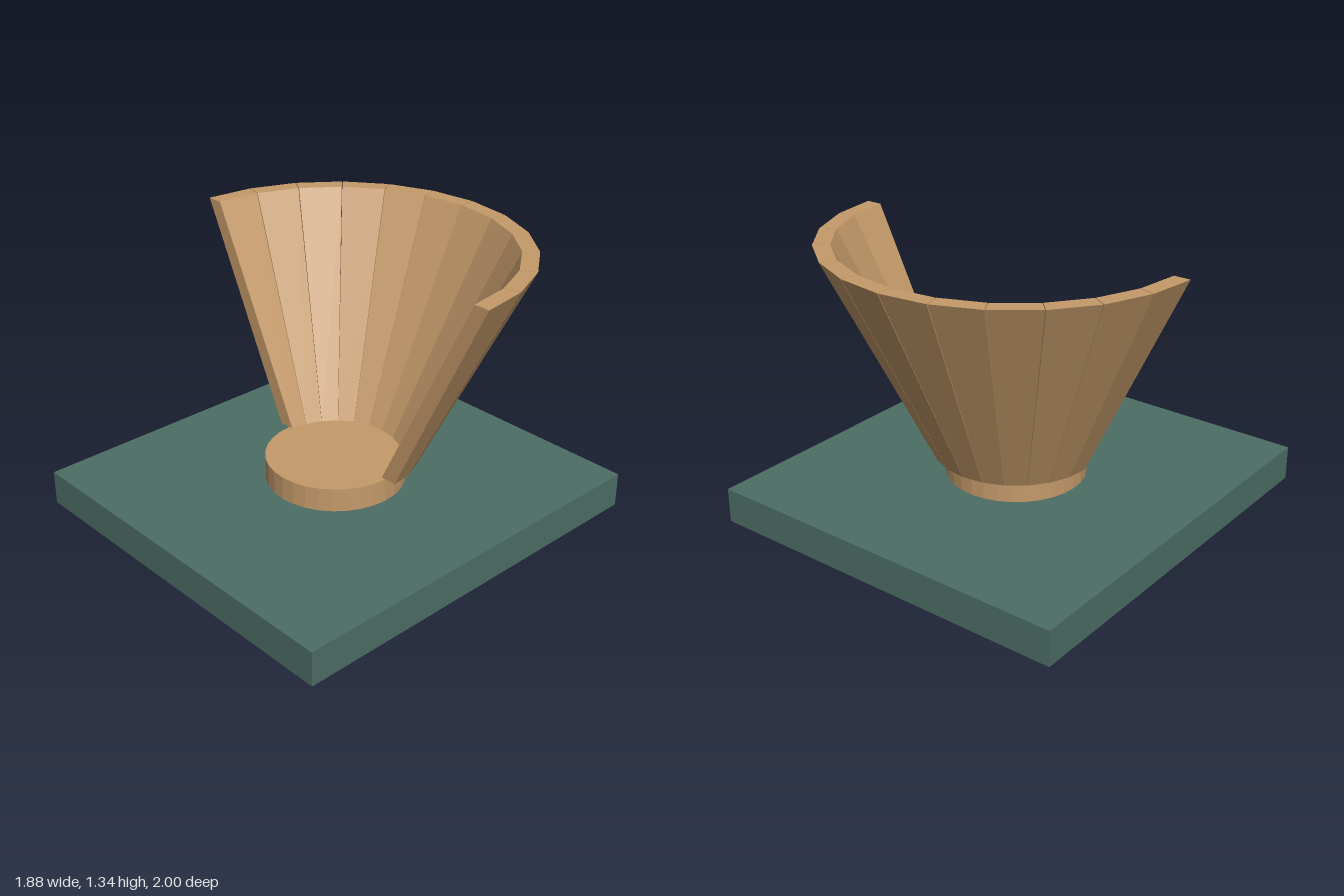
import * as THREE from 'three';

const STAVES = 12;
const GAP = 0.004; // radians trimmed between neighbouring staves

// One tapered stave: a box bent onto a half cone, box z+ is the inner face
function staveGeometry(start, end) {
  const geo = new THREE.BoxGeometry(1, 1, 1).toNonIndexed();
  const p = geo.attributes.position;
  for (let i = 0; i < p.count; i++) {
    const a = p.getX(i) < 0 ? start : end;
    const top = p.getY(i) > 0;
    const inner = p.getZ(i) > 0;
    const r = inner ? (top ? 0.83 : 0.317) : (top ? 0.91 : 0.4);
    p.setXYZ(i, r * Math.sin(a), top ? 1.343 : 0.29, -r * Math.cos(a));
  }
  geo.computeVertexNormals();
  return geo;
}

export function createModel() {
  const model = new THREE.Group();
  const wood = new THREE.MeshStandardMaterial({ color: 0xc49a6a });
  wood.name = 'tan wood';
  wood.flatShading = true;
  const green = new THREE.MeshStandardMaterial({ color: 0x4c6e65 });
  green.name = 'dark green';

  const add = (name, geo, mat, parent = model) => {
    const mesh = new THREE.Mesh(geo, mat);
    mesh.name = name;
    parent.add(mesh);
    return mesh;
  };

  // Base slab and round plinth
  add('base', new THREE.BoxGeometry(1.88, 0.172, 2), green).position.y = 0.086;
  add('plinth', new THREE.CylinderGeometry(0.34, 0.34, 0.118, 32), wood).position.y = 0.231;

  // Half cone of flared staves, open towards the front
  const shell = new THREE.Group();
  shell.name = 'flaredShell';
  model.add(shell);
  const step = Math.PI / STAVES;
  for (let i = 0; i < STAVES; i++) {
    const a = -Math.PI / 2 + i * step;
    add('stave' + (i + 1), staveGeometry(a + GAP / 2, a + step - GAP / 2), wood, shell);
  }
  return model;
}
